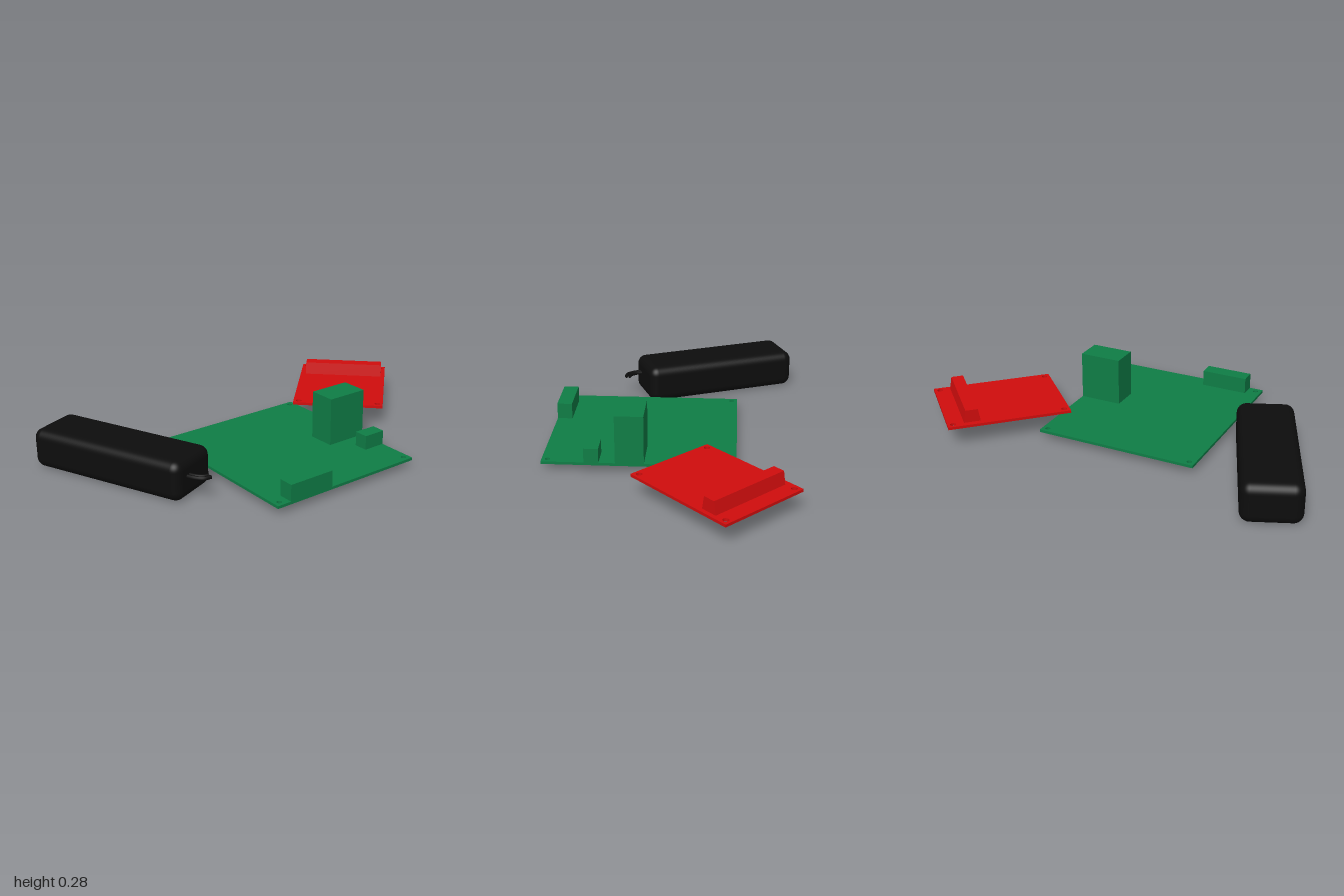
import * as THREE from 'three';
import { RoundedBoxGeometry } from 'three/addons/geometries/RoundedBoxGeometry.js';

const green = new THREE.MeshStandardMaterial({ color: 0x0f7d46 });
const red = new THREE.MeshStandardMaterial({ color: 0xd00d0d });
const black = new THREE.MeshStandardMaterial({ color: 0x0d0d0d });

function add(parent, name, geometry, material, x = 0, y = 0, z = 0) {
  const mesh = new THREE.Mesh(geometry, material);
  mesh.name = name;
  mesh.position.set(x, y, z);
  parent.add(mesh);
  return mesh;
}

// Flat board lying on y = 0, with a screw hole near each corner
function boardGeometry(width, depth, thickness, inset, radius) {
  const w = width / 2, d = depth / 2;
  const shape = new THREE.Shape();
  shape.moveTo(-w, -d).lineTo(w, -d).lineTo(w, d).lineTo(-w, d).closePath();
  for (const sx of [-1, 1]) {
    for (const sz of [-1, 1]) {
      const hole = new THREE.Path();
      hole.absarc(sx * (w - inset), sz * (d - inset), radius, 0, Math.PI * 2, true);
      shape.holes.push(hole);
    }
  }
  const geometry = new THREE.ExtrudeGeometry(shape, { depth: thickness, bevelEnabled: false, curveSegments: 16 });
  return geometry.rotateX(-Math.PI / 2);
}

export function createModel() {
  const model = new THREE.Group();
  model.name = 'electronicsKit';

  // Main board with its three connector blocks
  const main = new THREE.Group();
  main.name = 'mainBoard';
  model.add(main);
  add(main, 'mainBoardPlate', boardGeometry(0.89, 0.79, 0.013, 0.028, 0.012), green, 0.14, 0.035, 0.035);
  const blocks = [
    // name, x0, x1, z0, z1, top
    ['tallPort', 0.113, 0.245, -0.36, -0.155, 0.28],
    ['smallPort', 0.32, 0.388, -0.36, -0.25, 0.117],
    ['sidePort', 0.512, 0.585, 0.13, 0.36, 0.126],
  ];
  for (const [name, x0, x1, z0, z1, top] of blocks) {
    const base = 0.045;
    add(main, name, new THREE.BoxGeometry(x1 - x0, top - base, z1 - z0), green,
      (x0 + x1) / 2, (top + base) / 2, (z0 + z1) / 2);
  }

  // Small board, turned 45 degrees and overlapping the main one
  const small = new THREE.Group();
  small.name = 'smallBoard';
  small.position.set(-0.217, 0.098, -0.632);
  small.rotation.y = -Math.PI / 4;
  model.add(small);
  add(small, 'smallBoardPlate', boardGeometry(0.587, 0.453, 0.013, 0.027, 0.014), red);

  // Header strip with sloping long sides
  const profile = new THREE.Shape();
  profile.moveTo(-0.04, 0).lineTo(0.04, 0).lineTo(0.029, 0.063).lineTo(-0.029, 0.063).closePath();
  const strip = new THREE.ExtrudeGeometry(profile, { depth: 0.405, bevelEnabled: false });
  add(small, 'headerStrip', strip.translate(0, 0, -0.2025), red, -0.176, 0.011, -0.004);

  // Rounded battery pack
  const battery = new THREE.Group();
  battery.name = 'battery';
  battery.position.set(-0.177, 0.094, 0.735);
  battery.rotation.y = Math.PI / 8;
  model.add(battery);
  add(battery, 'batteryPack', new RoundedBoxGeometry(0.806, 0.187, 0.268, 6, 0.045), black);

  // Pair of wires curving away from the battery's end
  for (const side of [-1, 1]) {
    const o = side * 0.009;
    const path = new THREE.CatmullRomCurve3([
      new THREE.Vector3(0.2 + o * 0.4, 0.11, 0.634 + o),
      new THREE.Vector3(0.245 + o * 0.6, 0.11, 0.614 + o * 0.8),
      new THREE.Vector3(0.271 + o, 0.11, 0.59 + o * 0.5),
      new THREE.Vector3(0.277 + o, 0.11, 0.56),
    ]);
    const wire = new THREE.Group();
    wire.name = side < 0 ? 'innerWire' : 'outerWire';
    model.add(wire);
    add(wire, 'wireSleeve', new THREE.TubeGeometry(path, 20, 0.009, 10), black);
    // Cut end of the wire
    const cap = add(wire, 'wireEnd', new THREE.CircleGeometry(0.009, 10), black);
    cap.position.copy(path.getPoint(1));
    cap.lookAt(path.getPoint(1).add(path.getTangent(1)));
  }

  return model;
}
